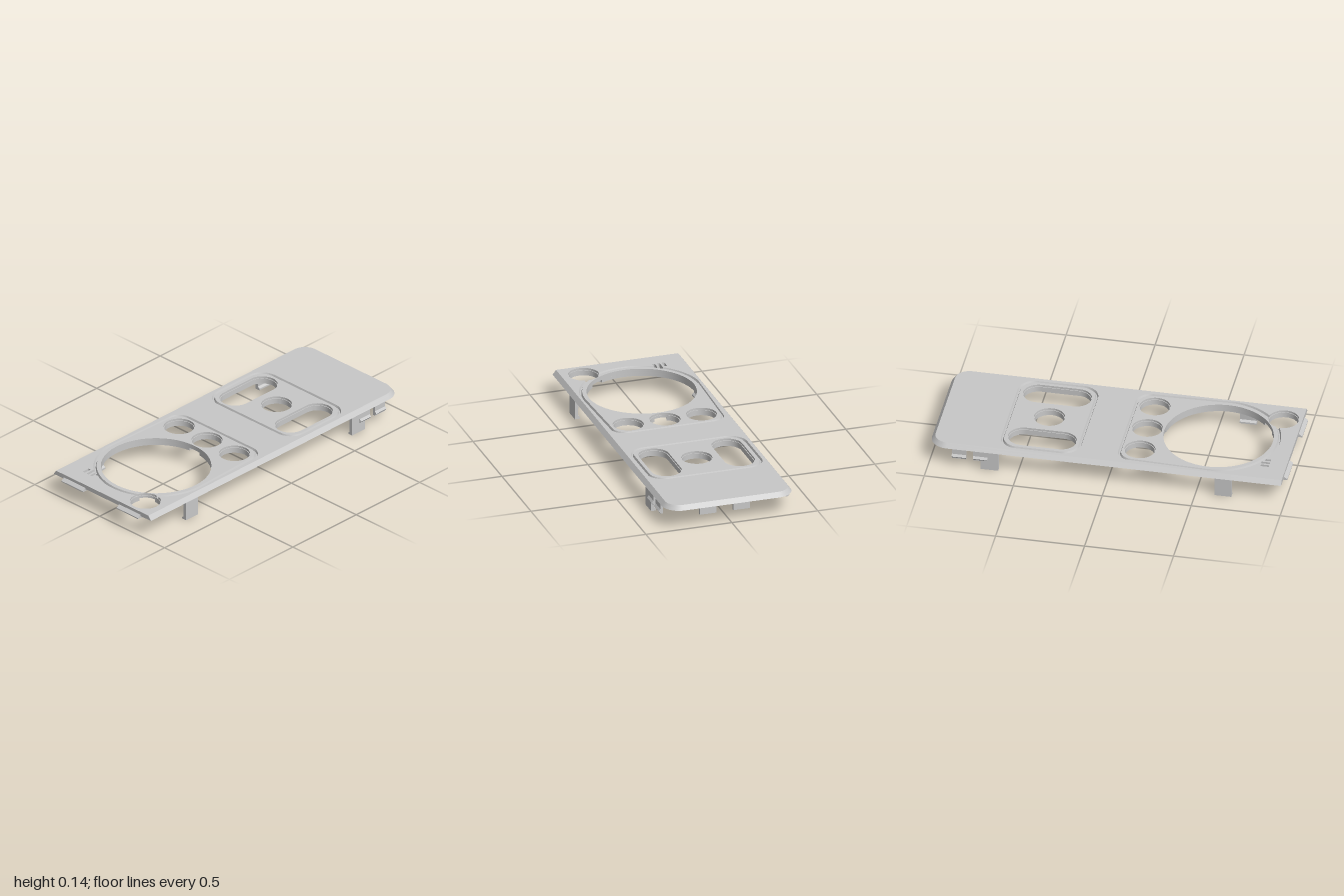
import * as THREE from 'three';
import { toCreasedNormals } from 'three/addons/utils/BufferGeometryUtils.js';

const PI = Math.PI, Y0 = 0.112, YM = 0.126, Y1 = 0.138, RIM = 0.095;
const BIG = [0, 0.555], CORNER = [0.23, 0.875], HOLE = 0.082, FRONT = 0.98;
const VENTS = [-0.179, -0.207, -0.235], VENT_Z = [0.838, 0.885], VENT_W = 0.008;
const ALPHA = Math.atan2(CORNER[1] - BIG[1], CORNER[0]);
const DIST = Math.hypot(CORNER[0], CORNER[1] - BIG[1]);

// Outlines are lists of [x, z] points, all running the same way round
const arc = (cx, cz, r, a, b, n = 24) => Array.from({ length: n + 1 }, (_, i) => {
  const t = a + (b - a) * i / n;
  return [cx + r * Math.cos(t), cz + r * Math.sin(t)];
});
const circle = (cx, cz, r) => arc(cx, cz, r, 0, 2 * PI, 48).slice(0, -1);
const rect = (x0, x1, z0, z1) => [[x0, z0], [x1, z0], [x1, z1], [x0, z1]];
const roundRect = (x0, x1, z0, z1, r) => [
  ...arc(x1 - r, z1 - r, r, 0, PI / 2, 12), ...arc(x0 + r, z1 - r, r, PI / 2, PI, 12),
  ...arc(x0 + r, z0 + r, r, PI, 1.5 * PI, 12), ...arc(x1 - r, z0 + r, r, 1.5 * PI, 2 * PI, 12)];
const slot = (x, r) => [...arc(x, -0.499, r, PI, 2 * PI), ...arc(x, -0.286, r, 0, PI)];
const panel = (inset) => roundRect(-0.335 + inset, 0.335 - inset, -0.62 + inset, -0.169 - inset, 0.1 - inset);

// Bell-shaped outline round the large opening. The outer one takes in the
// corner hole and two vents, the inner one is cut by the corner hole.
function bell(inset, joined) {
  const R = 0.345 - inset, h = 0.086, rc = 0.085 - inset;
  const phi = Math.acos((R * R + DIST * DIST - h * h) / (2 * R * DIST));
  const psi = Math.acos((h * h + DIST * DIST - R * R) / (2 * h * DIST));
  const from = ALPHA + PI + psi, to = ALPHA + PI - psi + (joined ? 2 * PI : 0);
  const pts = [...arc(...BIG, R, 0, ALPHA - phi), ...arc(...CORNER, h, from, to, 36).slice(1, -1)];
  let start = ALPHA + phi;
  if (joined) {
    for (const x of VENTS.slice(0, 2)) {
      pts.push(...arc(...BIG, R, start, Math.acos((x + VENT_W) / R), 12),
        [x + VENT_W, VENT_Z[1]], [x - VENT_W, VENT_Z[1]]);
      start = Math.acos((x - VENT_W) / R);
    }
  }
  return [...pts, ...arc(...BIG, R, start, PI, 36),
    ...arc(-0.245, 0.125, rc, PI, 1.5 * PI, 12), ...arc(0.245, 0.125, rc, 1.5 * PI, 2 * PI, 12)];
}

const toPoints = (list) => list.map(([x, z]) => new THREE.Vector2(x, -z));
function slab(outline, holes, y0, y1) {
  const shape = new THREE.Shape(toPoints(outline));
  holes.forEach((h) => shape.holes.push(new THREE.Path(toPoints(h).reverse())));
  const g = new THREE.ExtrudeGeometry(shape, { depth: y1 - y0, bevelEnabled: false });
  return g.rotateX(-PI / 2).translate(0, y0, 0);
}

// Sloping wall between two outlines with the same number of points
function wall(a, ya, b, yb) {
  const pos = [];
  a.forEach(([x, z], i) => {
    const j = (i + 1) % a.length;
    const [p, q, r, s] = [[x, ya, z], [b[i][0], yb, b[i][1]], [a[j][0], ya, a[j][1]], [b[j][0], yb, b[j][1]]];
    pos.push(...p, ...q, ...r, ...r, ...q, ...s);
  });
  return new THREE.BufferGeometry().setAttribute('position', new THREE.Float32BufferAttribute(pos, 3));
}

// Pull the outer border inwards with height to make the sloping edge
function slopeEdge(g) {
  const p = g.attributes.position;
  for (let i = 0; i < p.count; i++) {
    const x = p.getX(i), z = p.getZ(i);
    const qx = THREE.MathUtils.clamp(x, -0.275, 0.275), qz = Math.max(z, -0.9);
    const len = Math.hypot(x - qx, z - qz);
    const max = 0.1 - 0.02 * (p.getY(i) - Y0) / (Y1 - Y0);
    if (len > max) {
      p.setX(i, qx + (x - qx) * max / len);
      p.setZ(i, qz + (z - qz) * max / len);
    }
  }
  return g;
}

export function createModel() {
  const model = new THREE.Group();
  const grey = new THREE.MeshStandardMaterial({ color: 0xc8c8c8 });
  grey.name = 'grey plastic';
  const add = (name, g) => {
    const mesh = new THREE.Mesh(toCreasedNormals(g, 0.5), grey);
    mesh.name = name;
    model.add(mesh);
  };

  const border = [...arc(-0.275, -0.9, 0.1, PI, 1.5 * PI, 12),
    ...arc(0.275, -0.9, 0.1, 1.5 * PI, 2 * PI, 12), [0.375, FRONT], [-0.375, FRONT]];
  const upperHoles = (r) => [slot(-0.213, r), slot(0.213, r), circle(0, -0.395, r)];
  const sideHoles = (r) => [circle(-0.213, 0.155, r), circle(0.213, 0.155, r)];
  const lowerHoles = (r) => [...sideHoles(r), circle(0, 0.155, r)];
  const bigHole = circle(...BIG, 0.305);
  const vents = VENTS.map((x) => rect(x - VENT_W, x + VENT_W, ...VENT_Z));

  // Plate: pierced base, then a top layer with two grooved panels
  add('plateBase', slopeEdge(slab(border,
    [...upperHoles(HOLE), ...lowerHoles(HOLE), bigHole, circle(...CORNER, HOLE), ...vents], Y0, YM)));
  add('plateTop', slopeEdge(slab(border, [panel(0), bell(0, true), vents[2]], YM, Y1)));
  add('upperPanel', slab(panel(0.017), upperHoles(0.086), YM, Y1));
  add('lowerPanel', slab(bell(0.017, false), [...lowerHoles(0.086), bigHole], YM, Y1));

  // Sloping sides of the grooves
  add('upperGrooveOuterSide', wall(panel(0), Y1, panel(0.005), YM));
  add('upperGrooveInnerSide', wall(panel(0.012), YM, panel(0.017), Y1));
  add('lowerGrooveOuterSide', wall(bell(0, true), Y1, bell(0.005, true), YM));
  add('lowerGrooveInnerSide', wall(bell(0.012, false), YM, bell(0.017, false), Y1));

  // Raised rims below the openings, left open where two openings almost meet
  const outer = [...upperHoles(0.108), ...sideHoles(0.106)];
  [...upperHoles(HOLE), ...sideHoles(HOLE)].forEach((h, i) => add('openingRim', slab(outer[i], [h], RIM, Y0)));
  const arcRim = (name, c, r0, r1, a, b) =>
    add(name, slab([...arc(...c, r1, a, b, 60), ...arc(...c, r0, b, a, 60)], [], RIM, Y0));
  arcRim('largeRim', BIG, 0.305, 0.33, -PI / 2 + 0.13, ALPHA - 0.155);
  arcRim('largeRim', BIG, 0.305, 0.33, ALPHA + 0.155, 1.5 * PI - 0.13);
  arcRim('cornerRim', CORNER, HOLE, 0.108, ALPHA - PI + 0.56, ALPHA + PI - 0.56);
  arcRim('middleRim', [0, 0.155], HOLE, 0.106, PI / 2 + 0.43, 2.5 * PI - 0.43);

  // Clip profile in x and y, extruded along z and mirrored
  const profile = (points, depth) => new THREE.ExtrudeGeometry(
    new THREE.Shape(points.map(([x, y]) => new THREE.Vector2(x, y))), { depth, bevelEnabled: false });
  const clip = (name, points, side, z0, z1) =>
    add(name, profile(points.map(([x, y]) => [side * x, y]), z1 - z0).translate(0, 0, z0));
  const hook = [[0.372, 0], [0.372, Y0], [0.35, Y0], [0.354, 0.02], [0.343, 0.01], [0.343, 0]];
  const nub = [[0.372, 0.052], [0.372, 0.056], [0.382, 0.067], [0.372, 0.08], [0.372, Y0], [0.357, Y0], [0.357, 0.052]];
  const tongue = [[0.962, 0.1], [1, 0.1], [1, 0.106], [FRONT, 0.12], [0.962, 0.12]];
  for (const s of [-1, 1]) {
    clip('frontSideClip', hook, s, 0.605, 0.7);
    clip('backSideClip', hook, s, -0.71, -0.61);
    clip('sideLatch', nub, s, -0.75, -0.67);
    clip('sideLatch', nub, s, -0.87, -0.79);
    // Tongues at the front edge and tabs under the back
    add('frontTongue', profile(tongue, 0.165).rotateY(-PI / 2).translate(s * 0.2125 + 0.0825, 0, 0));
    add('backTab', new THREE.BoxGeometry(0.097, Y0 - 0.018, 0.018).translate(s * 0.0975, (Y0 + 0.018) / 2, -0.873));
  }
  return model;
}
